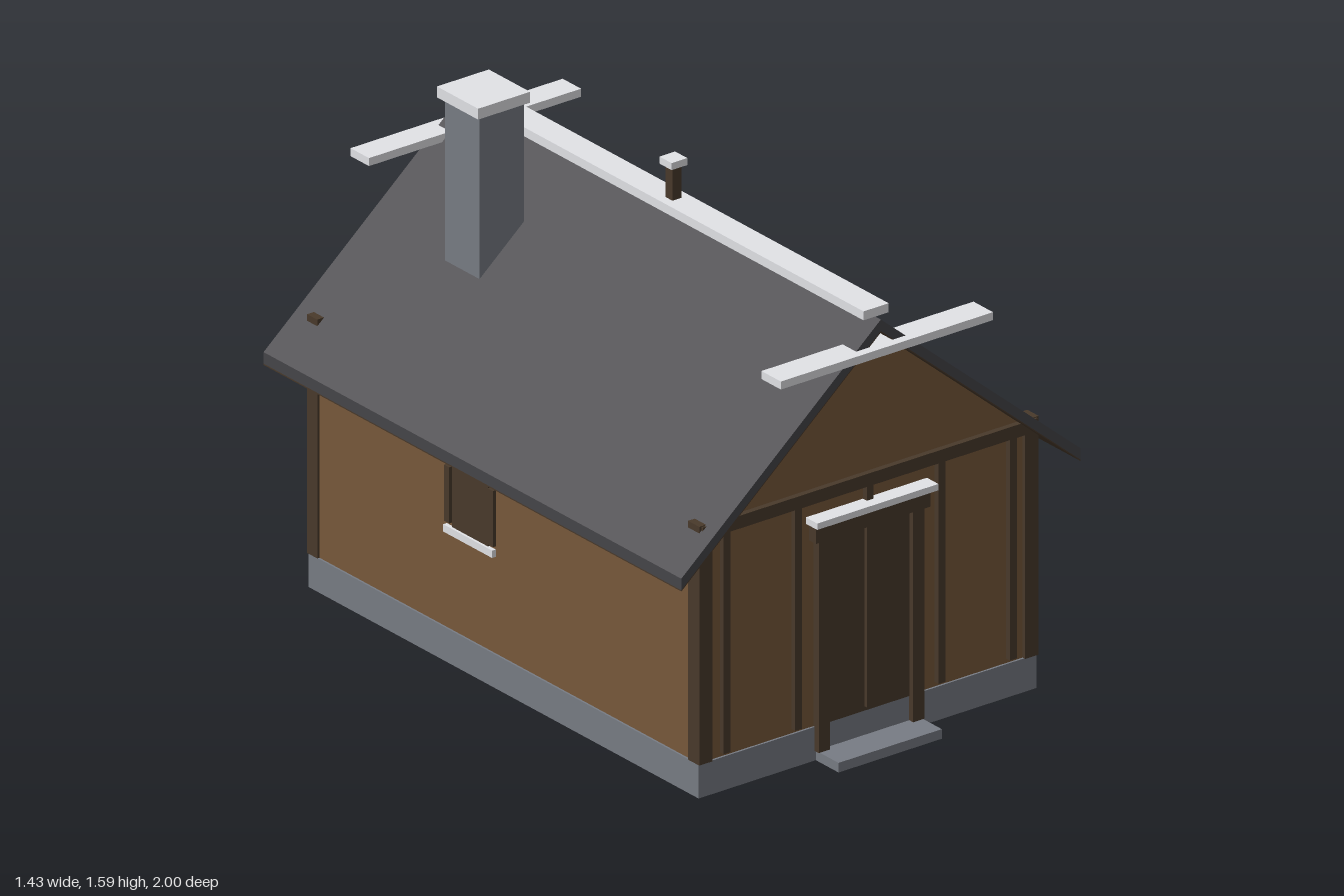
import * as THREE from 'three';

const mat = (name, color, side = THREE.FrontSide) => {
  const m = new THREE.MeshStandardMaterial({ color, side });
  m.name = name;
  return m;
};

export function createModel() {
  const house = new THREE.Group();
  house.name = 'cottage';
  const wood = mat('plank brown', 0x78593b);
  const timber = mat('dark timber', 0x493a2b);
  const stone = mat('grey stone', 0x787c84, THREE.DoubleSide);
  const slate = mat('roof slate', 0x464549);
  const pale = mat('pale trim', 0xe3e4e8, THREE.DoubleSide);

  // Box given by its limits on each axis
  const box = (name, m, x0, x1, y0, y1, z0, z1, parent = house) => {
    const mesh = new THREE.Mesh(new THREE.BoxGeometry(x1 - x0, y1 - y0, z1 - z0), m);
    mesh.position.set((x0 + x1) / 2, (y0 + y1) / 2, (z0 + z1) / 2);
    mesh.name = name;
    parent.add(mesh);
    return mesh;
  };
  // Same box, hollow and open underneath (the bottom is the fourth face)
  const openBox = (...args) => {
    const geo = box(...args).geometry;
    geo.setIndex([...geo.index.array].filter((_, i) => i < 18 || i >= 24));
    geo.clearGroups();
  };
  // Front outline drawn along z
  const prism = (name, m, points, z0, z1) => {
    const shape = new THREE.Shape(points.map(([x, y]) => new THREE.Vector2(x, y)));
    const geo = new THREE.ExtrudeGeometry(shape, { depth: z1 - z0, bevelEnabled: false });
    const mesh = new THREE.Mesh(geo, m);
    mesh.position.z = z0;
    mesh.name = name;
    house.add(mesh);
  };
  // Gable-shaped layer between two heights at the eaves
  const roofLayer = (name, m, y0, y1) => prism(name, m, [
    [-0.715, y0], [0, y0 + 0.605], [0.715, y0], [0.715, y1], [0, y1 + 0.605], [-0.715, y1],
  ], -0.97, 0.957);

  // Base, walls with gables, roof with timber lining
  openBox('foundation', stone, -0.605, 0.605, 0, 0.105, -0.905, 0.895);
  prism('walls', wood, [[-0.6, 0.106], [0.6, 0.106], [0.6, 0.805], [0, 1.312], [-0.6, 0.805]], -0.9, 0.89);
  roofLayer('roof', slate, 0.704, 0.74);
  roofLayer('roofLining', timber, 0.7, 0.704);

  // Ridge cap, gable planks, finial
  openBox('ridgeCap', pale, -0.045, 0.045, 1.347, 1.375, -0.953, 0.935);
  openBox('frontGablePlank', pale, -0.38, 0.38, 1.245, 1.27, 0.895, 0.985);
  openBox('backGablePlank', pale, -0.38, 0.38, 1.245, 1.27, -1, -0.915);
  box('finialPost', timber, -0.016, 0.016, 1.37, 1.48, -0.016, 0.016);
  openBox('finialCap', pale, -0.028, 0.028, 1.478, 1.5, -0.028, 0.028);

  // Chimney
  box('chimney', stone, -0.345, -0.185, 0.95, 1.555, -0.61, -0.45);
  openBox('chimneyCap', pale, -0.358, -0.172, 1.558, 1.592, -0.63, -0.44);

  // Corner posts, their tops just piercing the roof
  for (const s of [-1, 1]) {
    const [x0, x1] = s > 0 ? [0.56, 0.608] : [-0.608, -0.56];
    box('frontCornerPost', timber, x0, x1, 0.106, 0.851, 0.85, 0.902);
    box('backCornerPost', timber, x0, x1, 0.106, 0.851, -0.907, -0.86);
  }

  // Front framing
  box('frontBeam', timber, -0.6, 0.6, 0.808, 0.848, 0.88, 0.908);
  for (const x of [-0.513, -0.257, 0, 0.257, 0.513])
    box('frontStud', timber, x - 0.012, x + 0.012, 0.12, 0.808, 0.88, 0.908);

  // Door
  box('door', timber, -0.15, 0.15, 0.106, 0.69, 0.885, 0.897);
  for (const s of [-1, 1])
    box('doorJamb', timber, s * 0.169 - 0.02, s * 0.169 + 0.02, 0.03, 0.69, 0.88, 0.914);
  box('doorLintel', timber, -0.205, 0.205, 0.69, 0.745, 0.88, 0.922);
  openBox('doorCanopy', pale, -0.217, 0.217, 0.745, 0.765, 0.88, 0.943);
  openBox('doorStep', stone, -0.185, 0.185, 0, 0.03, 0.896, 1);

  // Windows, modelled facing +z and turned to their wall
  const addWindow = (name, x, z, turn, jambs) => {
    const g = new THREE.Group();
    g.name = name;
    box('pane', timber, -0.083, 0.083, 0.43, 0.638, -0.01, 0.005, g);
    box('windowLintel', timber, -0.113, 0.113, 0.635, 0.66, -0.01, 0.013, g);
    openBox('sill', pale, -0.113, 0.113, 0.407, 0.43, -0.01, 0.013, g);
    if (jambs) for (const s of [-1, 1])
      box('windowJamb', timber, s * 0.101 - 0.012, s * 0.101 + 0.012, 0.44, 0.615, -0.01, 0.01, g);
    g.position.set(x, 0, z);
    g.rotation.y = turn;
    house.add(g);
  };
  addWindow('rightWindow', 0.6, 0.085, Math.PI / 2, true);
  addWindow('leftWindow', -0.6, -0.16, -Math.PI / 2, true);
  addWindow('backWindow', 0, -0.9, Math.PI, false);

  return house;
}
